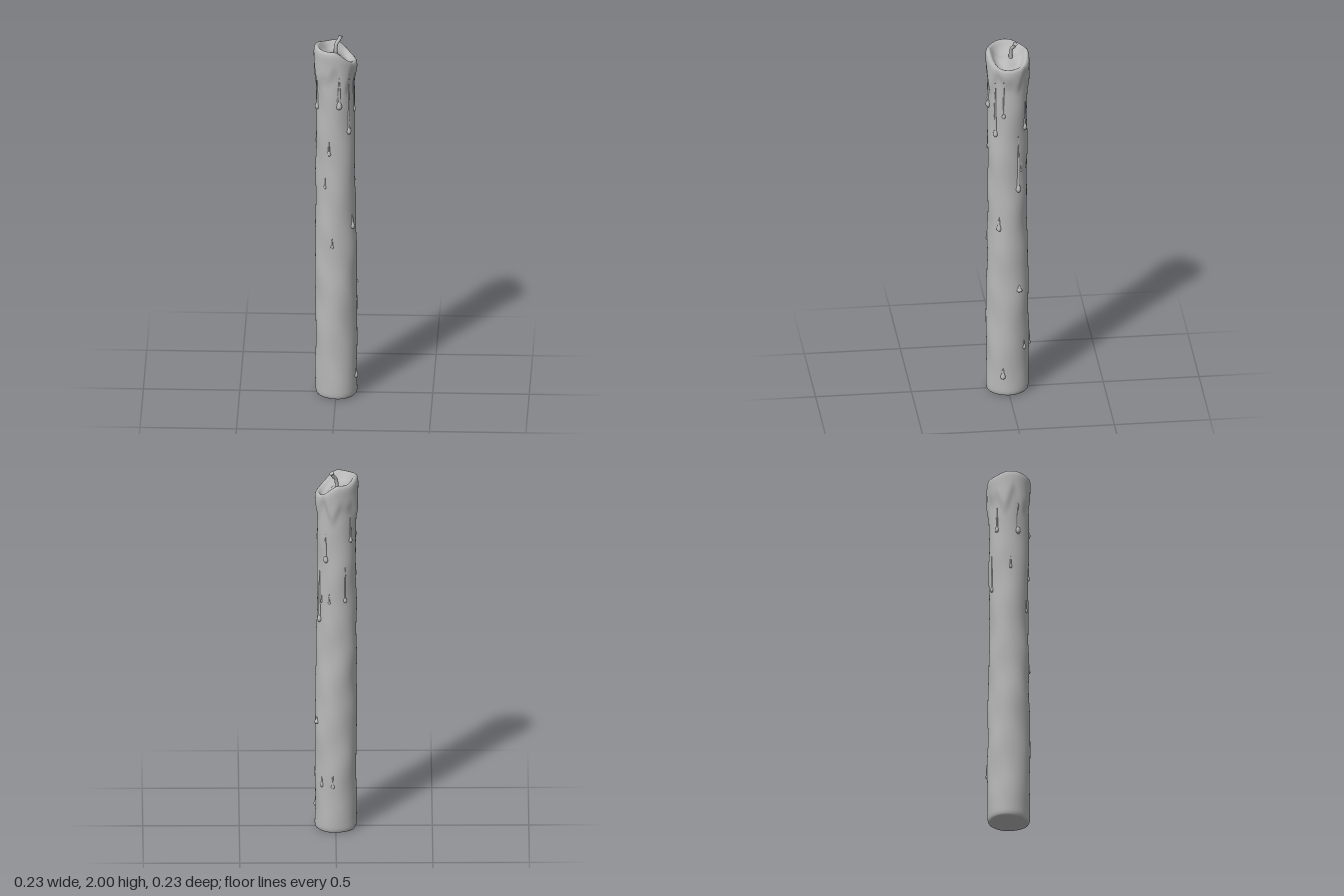
import * as THREE from 'three';
import { mergeVertices } from 'three/addons/utils/BufferGeometryUtils.js';

const step = THREE.MathUtils.smoothstep;

// Outer wax radius at angle a (0 = front, PI/2 = left) and height y
function skin(a, y) {
  let r = 0.109 - 0.007 * step(y, 0.5, 1.2);
  // gentle hand-dipped lumps
  r += 0.0018 * Math.sin(2 * a + 5 * y) + 0.0013 * Math.sin(3 * a - 11 * y + 1)
     + 0.001 * Math.sin(5 * a + 17 * y) + 0.0012 * Math.sin(23 * y + 2 * Math.sin(a));
  // melted collar with a scalloped lower edge
  const edge = 1.76 + 0.035 * Math.cos(5 * a + 0.6) + 0.025 * Math.cos(8 * a - 1);
  r += 0.011 * step(y, edge, edge + 0.09);
  return r;
}
const centreX = y => -0.004 * step(y, 0.5, 1.2);

// Height of the sloping rim, lowest on the left
const rimHeight = a => 1.962 - 0.078 * step(Math.sin(a), -0.15, 1) - 0.012 * step(-Math.cos(a), 0.2, 1)
  + 0.004 * Math.sin(3 * a);

function buildBody() {
  // [radius factor, height]; side heights are scaled to the rim above 1.6
  const pts = [[0, 0], [0.8, 0], [0.9, 0], [0.94, 0.002], [0.985, 0.01], [1, 0.025]];
  for (let i = 1; i <= 110; i++) pts.push([1, 0.025 + i * 0.0172]);
  const sideTop = pts.length;
  // rounded lip, then the melted pool: [radius factor, drop below rim]
  const lip = [[0.985, 0.018], [0.95, 0.007], [0.89, 0.001], [0.83, 0.001], [0.77, 0.007],
    [0.69, 0.02], [0.58, 0.035], [0.42, 0.045], [0.22, 0.048], [0, 0.048]];
  const profile = [...pts, ...lip].map(([r, y]) => new THREE.Vector2(r, y));
  const n = profile.length;
  const geo = new THREE.LatheGeometry(profile, 80);
  const p = geo.attributes.position;
  for (let i = 0; i < p.count; i++) {
    const k = i % n, a = Math.floor(i / n) / 80 * Math.PI * 2;
    const f = profile[k].x, rim = rimHeight(a);
    let y = profile[k].y;
    if (k >= sideTop) {
      const pool = 1.905 - 0.025 * f * Math.sin(a);
      const w = step(f, 0.2, 0.8);
      y = f > 0.8 ? rim - y : THREE.MathUtils.lerp(pool, rim - y, w);
    } else if (y > 1.6) {
      y = 1.6 + (y - 1.6) / (1.917 - 1.6) * (rim - 0.035 - 1.6);
    }
    const r = f * skin(a, y);
    p.setXYZ(i, centreX(y) + r * Math.sin(a), y, r * Math.cos(a));
  }
  geo.deleteAttribute('uv');
  geo.deleteAttribute('normal');
  const merged = mergeVertices(geo, 1e-5);
  merged.computeVertexNormals();
  return merged;
}

// A wax run from height top down to a round bead at height end, wrapped on the skin
function buildDrip(a, top, end, size) {
  const len = top - end;
  const bead = Math.min(size * 3.2, len * 0.6);
  const pts = [[0, 0], [0.55, 0.08], [0.88, 0.22], [1, 0.4], [0.85, 0.62], [0.6, 0.85], [0.48, 1]]
    .map(([r, t]) => new THREE.Vector2(r * size, end + t * bead));
  pts.push(new THREE.Vector2(size * 0.4, end + bead + (len - bead) * 0.5), new THREE.Vector2(0, top));
  const smooth = new THREE.SplineCurve(pts).getPoints(26);
  smooth.forEach(v => { v.x = Math.max(v.x, 0); });
  const geo = new THREE.LatheGeometry(smooth, 14);
  const p = geo.attributes.position;
  for (let i = 0; i < p.count; i++) {
    const y = p.getY(i), angle = a + p.getX(i) / 0.108;
    const r = skin(angle, y) + p.getZ(i) * 0.9;
    p.setXYZ(i, centreX(y) + r * Math.sin(angle), y, r * Math.cos(angle));
  }
  geo.deleteAttribute('uv');
  geo.deleteAttribute('normal');
  const merged = mergeVertices(geo, 1e-6);
  merged.computeVertexNormals();
  return merged;
}

export function createModel() {
  const group = new THREE.Group();
  const wax = new THREE.MeshStandardMaterial({ color: 0xb8b8b8 });
  wax.name = 'grey wax';
  const add = (geo, name, parent = group) => {
    const mesh = new THREE.Mesh(geo, wax);
    mesh.name = name;
    parent.add(mesh);
    return mesh;
  };

  add(buildBody(), 'candleBody');

  // Drips and beads: angle, top, end, size
  const drips = new THREE.Group();
  drips.name = 'waxDrips';
  group.add(drips);
  [
    [0.22, 1.82, 1.635, 0.015], [0.8, 1.82, 1.485, 0.014], [1.28, 1.82, 1.60, 0.010],
    [-1.2, 1.80, 1.61, 0.014], [-0.3, 1.46, 1.37, 0.010], [2.55, 1.68, 1.51, 0.014],
    [2.07, 1.50, 1.165, 0.015], [2.05, 0.635, 0.595, 0.015], [1.03, 1.03, 0.945, 0.013],
    [1.25, 0.16, 0.095, 0.013], [-0.15, 0.91, 0.85, 0.008], [-0.55, 1.26, 1.18, 0.008],
    [0.15, 1.72, 1.68, 0.006], [2.25, 1.34, 1.28, 0.007], [2.75, 1.34, 1.28, 0.007],
    [2.4, 0.31, 0.25, 0.010], [-2.35, 1.78, 1.62, 0.011], [-2.7, 1.5, 1.29, 0.010],
    [3.0, 0.34, 0.25, 0.009], [-1.6, 1.48, 1.41, 0.008]
  ].forEach(d => add(buildDrip(...d), 'waxDrip', drips));

  // Bent wick with a blunt, slightly flared tip
  const wick = new THREE.Group();
  wick.name = 'wick';
  group.add(wick);
  const path = new THREE.CatmullRomCurve3([
    [-0.004, 1.885, -0.018], [-0.004, 1.935, -0.018], [0.002, 1.962, -0.023], [0.012, 1.974, -0.03], [0.02, 1.992, -0.037]
  ].map(v => new THREE.Vector3(...v)));
  add(new THREE.TubeGeometry(path, 24, 0.0095, 12), 'wickStem', wick);
  const tip = add(new THREE.CylinderGeometry(0.0125, 0.0095, 0.012, 12), 'wickTip', wick);
  tip.position.set(0.0195, 1.99, -0.0365);
  tip.quaternion.setFromUnitVectors(new THREE.Vector3(0, 1, 0), path.getTangent(1));

  return group;
}
